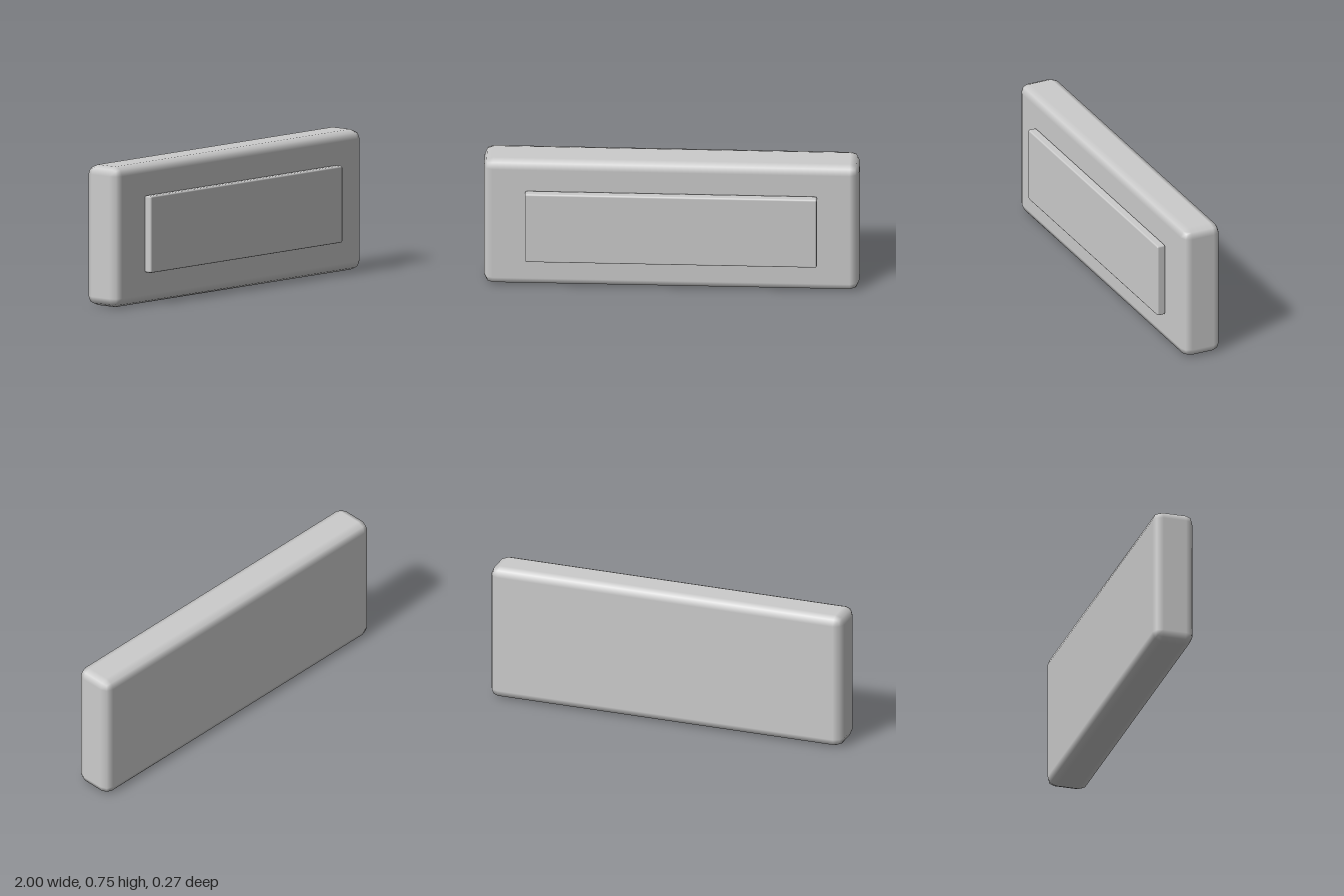
import * as THREE from 'three';
import { RoundedBoxGeometry } from 'three/addons/geometries/RoundedBoxGeometry.js';

const material = new THREE.MeshStandardMaterial({ color: 0xcccccc });

// Soft-edged slab with two facets around each edge
function slab(name, width, height, depth, radius, y, z) {
  const mesh = new THREE.Mesh(new RoundedBoxGeometry(width, height, depth, 1, radius), material);
  mesh.name = name;
  mesh.position.set(0, y, z);
  return mesh;
}

export function createModel() {
  const model = new THREE.Group();
  model.name = 'wallUnit';

  // Thick main body
  model.add(slab('body', 2, 0.755, 0.223, 0.049, 0.3775, -0.025));

  // Thin panel floating just off the front face
  model.add(slab('frontPanel', 1.556, 0.413, 0.048, 0.0095, 0.379, 0.1135));

  return model;
}
